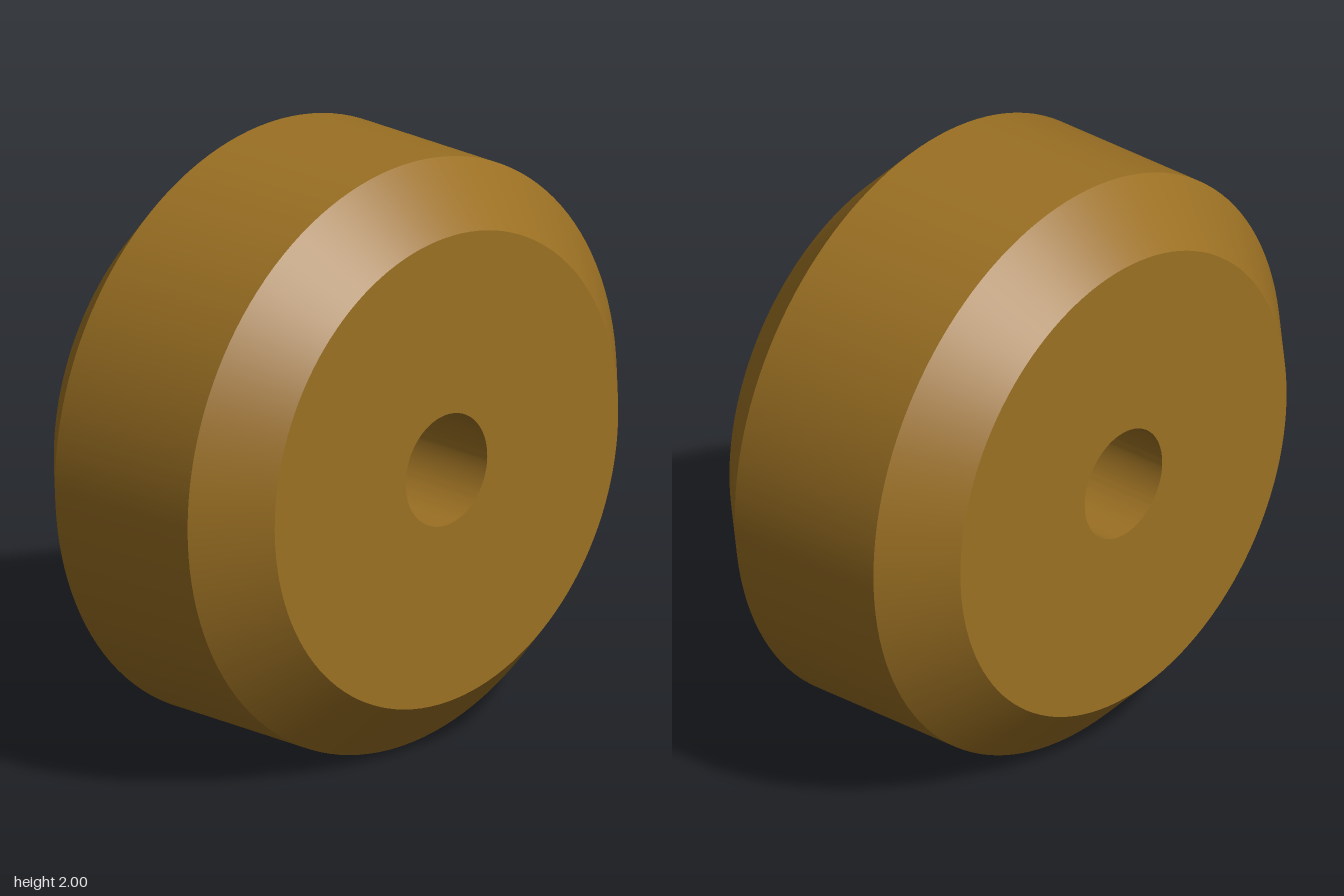
import * as THREE from 'three';
import { toCreasedNormals } from 'three/addons/utils/BufferGeometryUtils.js';

const RADIUS = 1;
const HALF_WIDTH = 0.5;
const CHAMFER = 0.2;
const BORE = 0.19;

export function createModel() {
  const group = new THREE.Group();
  group.name = 'chamferedWheel';

  // Closed cross-section (radius, position along axle): tread, chamfers, side faces and bore
  const profile = [
    [BORE, -HALF_WIDTH],
    [RADIUS - CHAMFER, -HALF_WIDTH],
    [RADIUS, -HALF_WIDTH + CHAMFER],
    [RADIUS, HALF_WIDTH - CHAMFER],
    [RADIUS - CHAMFER, HALF_WIDTH],
    [BORE, HALF_WIDTH],
    [BORE, -HALF_WIDTH],
  ].map(([r, h]) => new THREE.Vector2(r, h));

  // Smooth around the wheel, sharp at the chamfer and bore edges
  const geometry = toCreasedNormals(new THREE.LatheGeometry(profile, 128), Math.PI / 6);
  geometry.rotateZ(-Math.PI / 2); // axle along x

  const wheel = new THREE.Mesh(geometry, new THREE.MeshStandardMaterial({ color: 0x9b7023 }));
  wheel.name = 'wheel';
  wheel.position.y = RADIUS;
  group.add(wheel);

  return group;
}
